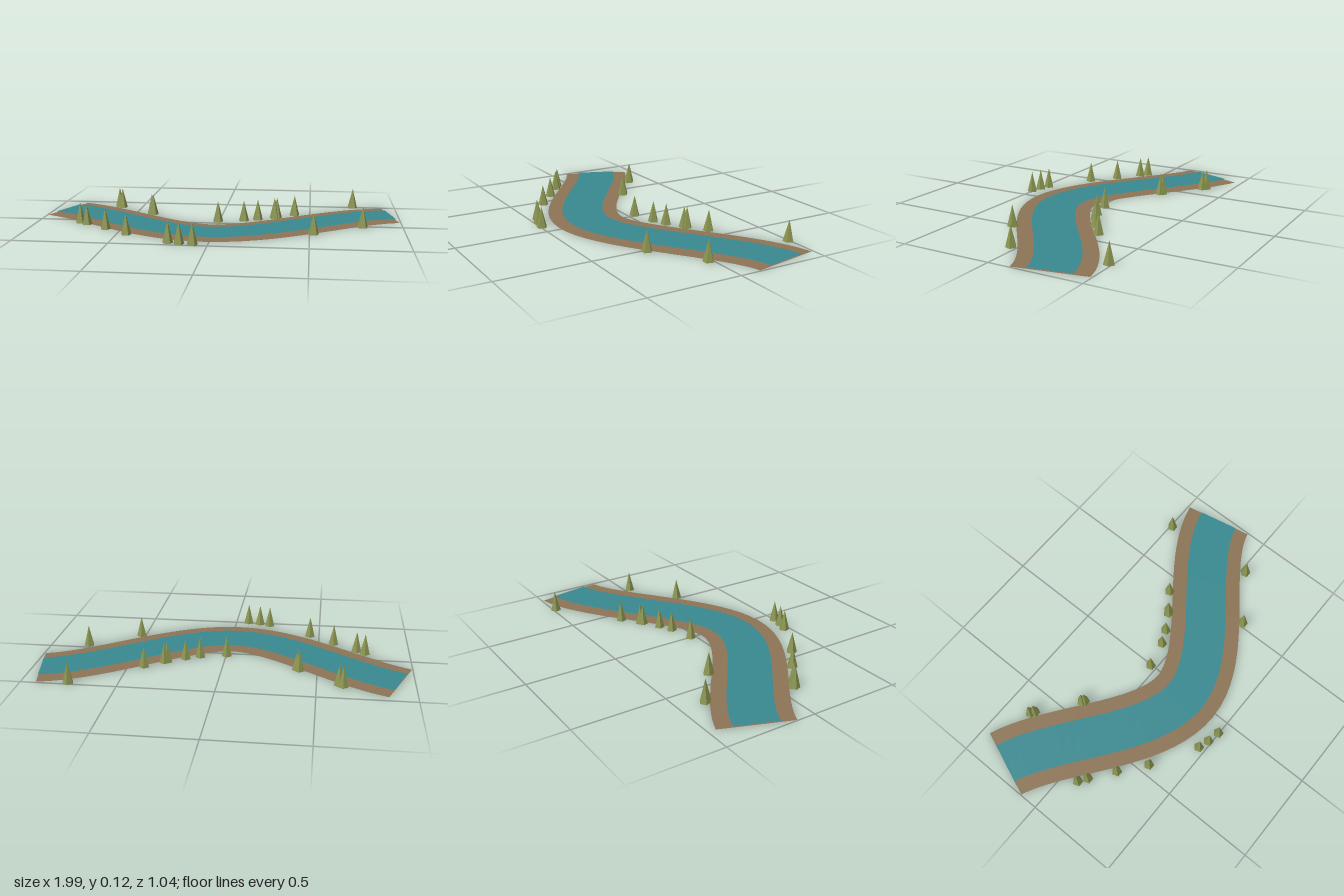
import * as THREE from 'three';

// River centre line, from its left bend to its right bend
const v = (x, z) => new THREE.Vector3(x, 0, z);
const halves = [
  new THREE.CubicBezierCurve3(v(-0.927, -0.28), v(-0.647, -0.171), v(-0.325, 0.227), v(-0.025, 0.227)),
  new THREE.CubicBezierCurve3(v(-0.025, 0.227), v(0.295, 0.227), v(0.643, -0.2415), v(0.957, -0.302)),
];

// Flat strip of constant width that follows the centre line
function ribbon(halfWidth, y) {
  const steps = 20, pos = [], index = [];
  halves.forEach((curve, h) => {
    for (let i = h; i <= steps; i++) {
      const p = curve.getPoint(i / steps), t = curve.getTangent(i / steps);
      for (const s of [-1, 1]) pos.push(p.x - t.z * s * halfWidth, y, p.z + t.x * s * halfWidth);
    }
  });
  for (let a = 0; a < pos.length / 3 - 2; a += 2) index.push(a, a + 1, a + 2, a + 1, a + 3, a + 2);
  const geo = new THREE.BufferGeometry();
  geo.setAttribute('position', new THREE.Float32BufferAttribute(pos, 3));
  geo.setIndex(index);
  geo.computeVertexNormals();
  return geo;
}

// Ground positions (x, z) of the reed tufts
const tufts = [
  [-0.754, 0.082], [-0.709, 0.113], [-0.583, 0.208], [-0.447, 0.317], [-0.203, 0.464],
  [-0.144, 0.483], [-0.075, 0.496], [0.521, 0.208], [0.783, 0.028],
  [-0.634, -0.365], [-0.614, -0.349], [-0.406, -0.19], [-0.395, -0.18], [-0.005, -0.033],
  [0.136, -0.067], [0.211, -0.101], [0.302, -0.156], [0.315, -0.165], [0.412, -0.236], [0.751, -0.488],
];

export function createModel() {
  const mud = new THREE.MeshStandardMaterial({ color: 0x8b7355, side: THREE.DoubleSide });
  mud.name = 'mud brown';
  const teal = new THREE.MeshStandardMaterial({ color: 0x38888f, side: THREE.DoubleSide });
  teal.name = 'water teal';
  const olive = new THREE.MeshStandardMaterial({ color: 0x8b9550, flatShading: true });
  olive.name = 'reed olive';

  const model = new THREE.Group();
  model.name = 'river';
  const add = (name, geo, mat, parent = model) => {
    const mesh = new THREE.Mesh(geo, mat);
    mesh.name = name;
    parent.add(mesh);
    return mesh;
  };

  // Bank strip with the narrower water strip just above it
  add('bank', ribbon(0.192, 0), mud);
  add('water', ribbon(0.113, 0.006), teal);

  // Five-sided reed tufts along both banks
  const reeds = new THREE.Group();
  reeds.name = 'reeds';
  model.add(reeds);
  const cone = new THREE.ConeGeometry(0.029, 0.115, 5, 1, false, Math.PI);
  cone.translate(0, 0.0595, 0);
  tufts.forEach(([x, z], i) => add(`reed${i + 1}`, cone, olive, reeds).position.set(x, 0, z));

  return model;
}
